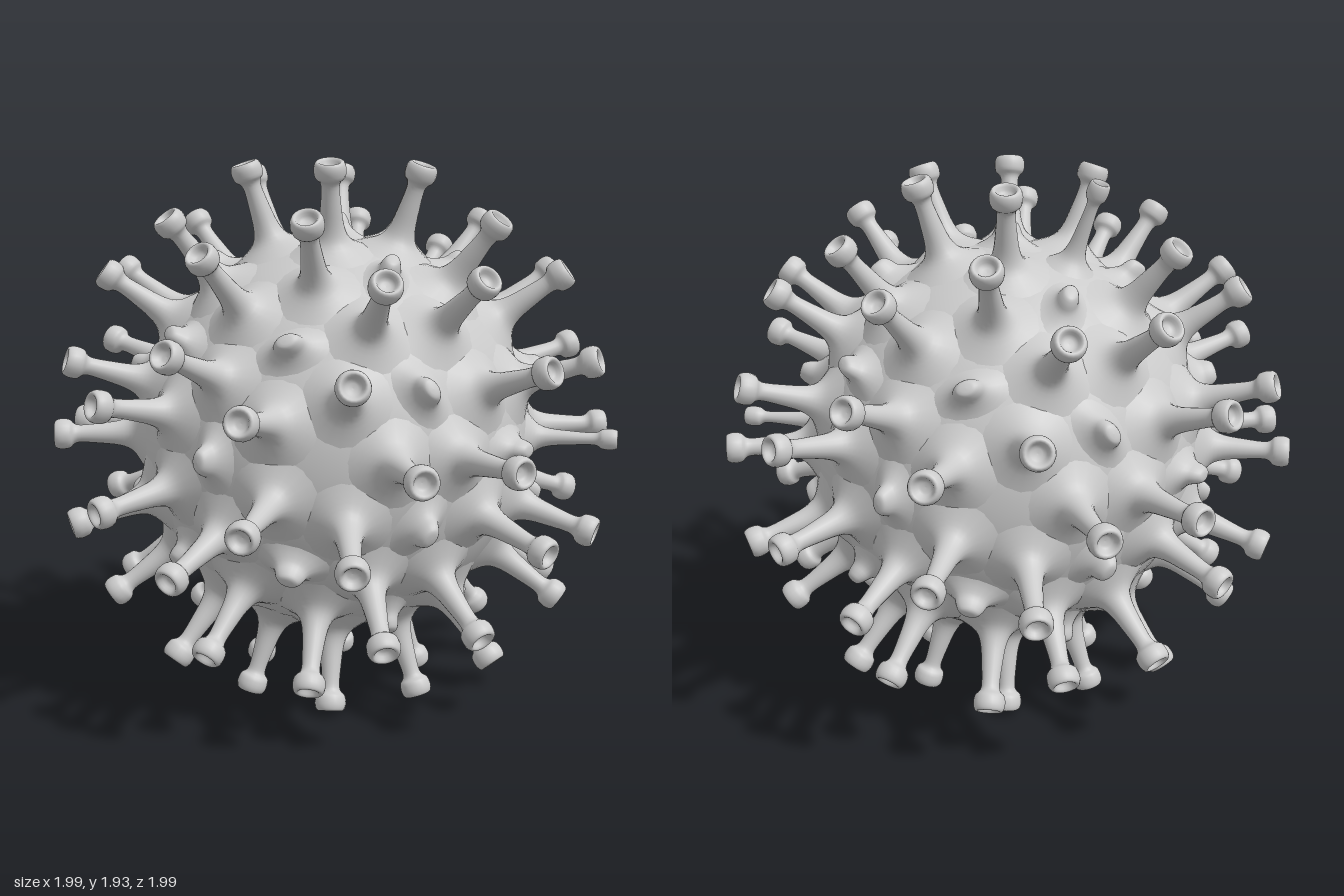
import * as THREE from 'three';

const CENTRE_Y = 0.967;
const UP = new THREE.Vector3(0, 1, 0);

// Smooth lathe from [radius, distance from the centre] pairs
function lathe(pairs, rings, sides) {
  const curve = new THREE.SplineCurve(pairs.map(([r, h]) => new THREE.Vector2(r, h)));
  const points = curve.getPoints(rings);
  points.forEach((p) => { p.x = Math.max(p.x, 0); });
  return new THREE.LatheGeometry(points, sides);
}

export function createModel() {
  const model = new THREE.Group();
  model.name = 'spikedSphere';
  const grey = new THREE.MeshStandardMaterial({ color: 0xcbcbcb });
  grey.name = 'light grey';

  const add = (geometry, name) => {
    const mesh = new THREE.Mesh(geometry, grey);
    mesh.name = name;
    model.add(mesh);
    return mesh;
  };

  // Round core
  add(new THREE.SphereGeometry(0.7, 64, 40), 'core').position.y = CENTRE_Y;

  // Spike: flared root, slim stalk, cupped head
  const spikeGeometry = lathe([
    [0.17, 0.672], [0.11, 0.703], [0.065, 0.735], [0.045, 0.78], [0.036, 0.85],
    [0.031, 0.915], [0.036, 0.94], [0.051, 0.956], [0.055, 0.985],
    [0.048, 1.006], [0.036, 1.007], [0.022, 0.985], [0, 0.98],
  ], 36, 20);

  // Small oval knob between the spikes
  const knobGeometry = lathe([
    [0.13, 0.68], [0.085, 0.702], [0.052, 0.73], [0.04, 0.76], [0.026, 0.78], [0, 0.784],
  ], 16, 20);
  knobGeometry.scale(1.15, 1, 0.8);

  // A few spikes are slimmer than the rest
  const slim = [new THREE.Vector3(-0.35, 0.93, -0.06), new THREE.Vector3(0.98, 0, -0.2)];

  const addSpike = (...corners) => {
    const dir = new THREE.Vector3();
    corners.forEach((c) => dir.add(c));
    dir.normalize();
    const mesh = add(spikeGeometry, 'spike');
    mesh.quaternion.setFromUnitVectors(UP, dir);
    mesh.position.y = CENTRE_Y;
    if (slim.some((s) => s.dot(dir) > 0.985)) mesh.scale.set(0.68, 1, 0.68);
  };

  const addKnob = (a, b, middle) => {
    const across = new THREE.Vector3().subVectors(b, a).cross(middle).normalize();
    const along = new THREE.Vector3().crossVectors(across, middle);
    const mesh = add(knobGeometry, 'knob');
    mesh.quaternion.setFromRotationMatrix(new THREE.Matrix4().makeBasis(across, middle, along));
    mesh.position.y = CENTRE_Y;
  };

  // Icosahedral layout: four spikes per face, one knob per edge
  const layout = new THREE.IcosahedronGeometry(1, 0);
  layout.rotateY(Math.PI / 2 - THREE.MathUtils.degToRad(9.5));
  const pos = layout.attributes.position;
  const oneWay = new THREE.Vector3(1, 0.37, 0.11);
  for (let f = 0; f < pos.count; f += 3) {
    const v = [0, 1, 2].map((i) => new THREE.Vector3().fromBufferAttribute(pos, f + i));
    const mid = v.map((a, i) => a.clone().add(v[(i + 1) % 3]).normalize());
    addSpike(...v);
    v.forEach((a, i) => {
      const b = v[(i + 1) % 3];
      addSpike(a, mid[i], mid[(i + 2) % 3]);
      if (b.clone().sub(a).dot(oneWay) > 0) addKnob(a, b, mid[i]);
    });
  }
  return model;
}
